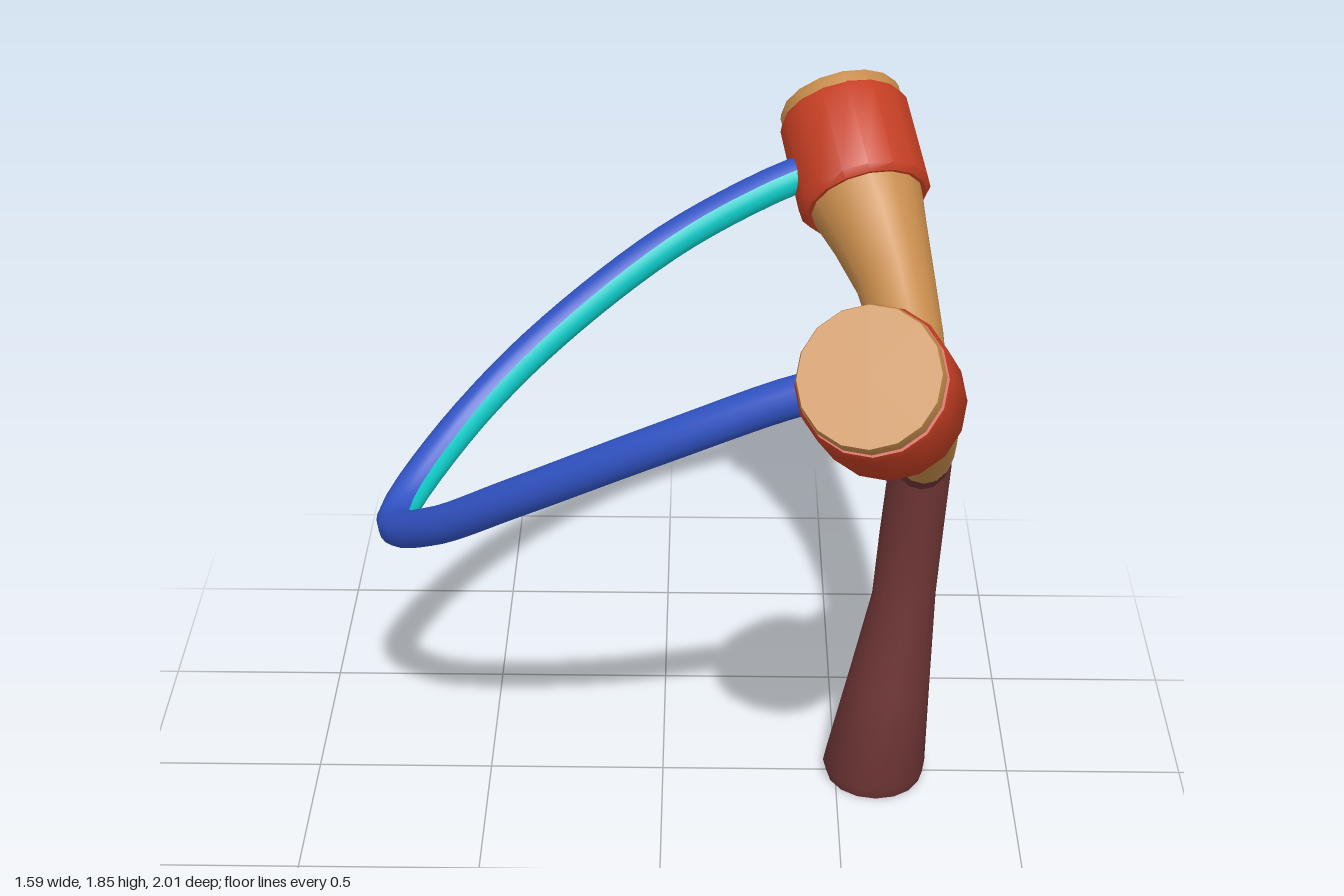
import * as THREE from 'three';
import { mergeVertices, toCreasedNormals } from 'three/addons/utils/BufferGeometryUtils.js';

const V = (x, y, z) => new THREE.Vector3(x, y, z);
const X = V(1, 0, 0), Y = V(0, 1, 0);

const mat = (name, color) => {
  const m = new THREE.MeshStandardMaterial({ color });
  m.name = name;
  return m;
};

// Sweep elliptical rings through stations [x, y, z, radiusU, radiusV].
// tangent: fixed direction; level: keep the u axis horizontal; from/to: arc in radians.
function sweep(stations, { tangent, level = false, from = 0, to = Math.PI * 2, sides = 16, caps = true } = {}) {
  const centres = stations.map(s => V(s[0], s[1], s[2]));
  const last = centres.length - 1;
  const rings = stations.map((s, i) => {
    const t = tangent ? tangent.clone()
      : centres[Math.min(i + 1, last)].clone().sub(centres[Math.max(i - 1, 0)]).normalize();
    const u = level ? t.clone().cross(Y) : X.clone().addScaledVector(t, -t.x);
    u.normalize();
    return { c: centres[i], u, v: t.clone().cross(u), ru: s[3], rv: s[4] };
  });
  if (caps) {
    rings.unshift({ ...rings[0], ru: 0, rv: 0 });
    rings.push({ ...rings[rings.length - 1], ru: 0, rv: 0 });
  }
  const pos = [], index = [], row = sides + 1;
  rings.forEach((r, i) => {
    for (let j = 0; j <= sides; j++) {
      const a = from + (to - from) * j / sides;
      const p = r.c.clone().addScaledVector(r.u, r.ru * Math.cos(a)).addScaledVector(r.v, r.rv * Math.sin(a));
      pos.push(p.x, p.y, p.z);
      if (i < rings.length - 1 && j < sides) {
        const k = i * row + j;
        if (r.ru > 0) index.push(k, k + 1, k + row + 1);
        if (rings[i + 1].ru > 0) index.push(k, k + row + 1, k + row);
        else index.push(k, k + 1, k + row);
      }
    }
  });
  const g = new THREE.BufferGeometry();
  g.setAttribute('position', new THREE.Float32BufferAttribute(pos, 3));
  g.setIndex(index);
  return toCreasedNormals(mergeVertices(g), 0.75);
}

export function createModel() {
  const group = new THREE.Group();
  group.name = 'slingshot';
  const wood = mat('light wood', 0xc68b4b);
  const grip = mat('dark maroon', 0x6e3535);
  const red = mat('red wrap', 0xc43e23);
  const blue = mat('blue cord', 0x3153c4);
  const cyan = mat('cyan lining', 0x0fd0cd);

  const add = (name, geometry, material) => {
    const m = new THREE.Mesh(geometry, material);
    m.name = name;
    group.add(m);
  };

  // Flared handle
  add('handle', sweep([
    [0.612, 0, 0, 0.137, 0.147],
    [0.612, 0.035, 0, 0.147, 0.158],
    [0.645, 0.32, 0, 0.117, 0.124],
    [0.677, 0.6, 0, 0.089, 0.09],
    [0.69, 0.8, 0, 0.088, 0.094],
    [0.705, 1.0, 0, 0.086, 0.115],
    [0.705, 1.08, 0, 0.086, 0.12],
  ], { tangent: Y }), grip);

  // Forked arms, mirrored front to back
  for (const [side, s] of [['front', 1], ['back', -1]]) {
    const flip = list => list.map(([x, y, z, a, b]) => [x, y, z * s, a, b]);
    add(side + 'ForkRoot', sweep(flip([
      [0.705, 1.05, 0, 0.085, 0.115],
      [0.7, 1.15, 0.135, 0.087, 0.115],
    ])), grip);
    add(side + 'Arm', sweep(flip([
      [0.7, 1.15, 0.135, 0.087, 0.115],
      [0.68, 1.26, 0.285, 0.098, 0.113],
      [0.645, 1.37, 0.43, 0.114, 0.118],
      [0.605, 1.455, 0.55, 0.14, 0.142],
      [0.565, 1.525, 0.65, 0.168, 0.172],
      [0.502, 1.705, 0.882, 0.18, 0.18],
      [0.498, 1.716, 0.896, 0.174, 0.174],
    ])), wood);
    // Wrap around the arm's swollen end
    add(side + 'Wrap', sweep(flip([
      [0.57, 1.51, 0.632, 0.176, 0.176],
      [0.565, 1.523, 0.65, 0.193, 0.193],
      [0.513, 1.678, 0.852, 0.191, 0.191],
      [0.509, 1.69, 0.868, 0.182, 0.182],
    ])), red);
  }

  // Elastic cord: blue outside with a cyan inner face
  const half = [[0.43, 1.595, 0.7], [0.3, 1.545, 0.682], [0, 1.39, 0.622], [-0.38, 1.135, 0.442], [-0.62, 0.935, 0.24]];
  const path = [
    ...half.map(p => V(...p)),
    V(-0.745, 0.82, 0),
    ...half.map(([x, y, z]) => V(x, y, -z)).reverse(),
  ];
  const R = 0.052;
  const cord = new THREE.CatmullRomCurve3(path).getSpacedPoints(48).map(p => [p.x, p.y, p.z, R, R]);
  const upper = -0.68, lower = 1.3;
  add('cordLining', sweep(cord, { level: true, from: upper, to: lower, sides: 6, caps: false }), cyan);
  add('cord', sweep(cord, { level: true, from: lower, to: upper + Math.PI * 2, sides: 12, caps: false }), blue);

  return group;
}
